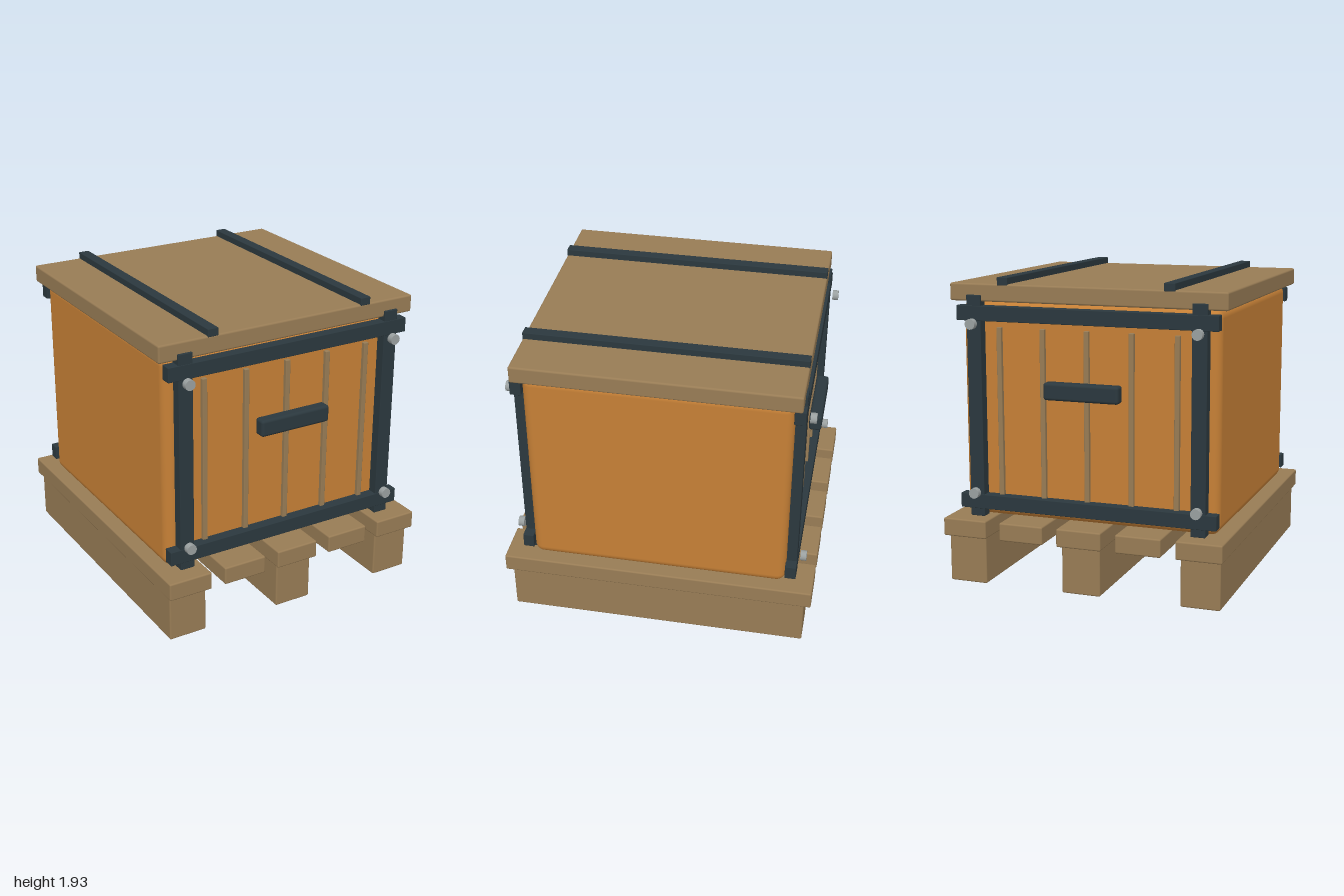
import * as THREE from 'three';
import { RoundedBoxGeometry } from 'three/addons/geometries/RoundedBoxGeometry.js';

const material = (color) => new THREE.MeshStandardMaterial({ color });

export function createModel() {
  const model = new THREE.Group();
  model.name = 'crateOnPallet';
  const wood = material(0x987c55);
  const orange = material(0xc68036);
  const iron = material(0x2b383e);
  const steel = material(0x9aa0a0);

  // Rounded block given by its size and centre
  function block(parent, name, mat, size, pos, radius = 0.01, segments = 2) {
    const mesh = new THREE.Mesh(new RoundedBoxGeometry(...size, segments, radius), mat);
    mesh.name = name;
    mesh.position.set(...pos);
    parent.add(mesh);
    return mesh;
  }

  // Pallet: three runners under five deck boards
  const pallet = new THREE.Group();
  pallet.name = 'pallet';
  model.add(pallet);
  for (const x of [-0.765, 0, 0.765])
    block(pallet, 'palletRunner', wood, [0.25, 0.31, 1.91], [x, 0.155, 0]);
  for (const x of [-0.765, -0.383, 0, 0.383, 0.765])
    block(pallet, 'palletBoard', wood, [0.29, 0.115, 2], [x, 0.3625, 0]);

  // Crate body and lid
  block(model, 'crateBody', orange, [1.67, 1.37, 1.64], [0, 1.1, 0], 0.06, 5);
  block(model, 'lid', wood, [1.78, 0.11, 1.74], [0, 1.835, 0], 0.012);

  // Straps over the lid
  for (const x of [-0.535, 0.535])
    block(model, 'lidStrap', iron, [0.07, 0.05, 1.74], [x, 1.907, 0], 0.004, 1);

  // End panel: iron frame, battens, handle and bolts
  function createEnd(name) {
    const end = new THREE.Group();
    end.name = name;
    for (const x of [-0.725, 0.725]) {
      block(end, 'framePost', iron, [0.094, 1.4, 0.07], [x, 1.12, 0.85], 0.004, 1);
      for (const y of [0.577, 1.645]) {
        const bolt = new THREE.Mesh(new THREE.CylinderGeometry(0.033, 0.033, 0.038, 16), steel);
        bolt.name = 'bolt';
        bolt.rotation.x = Math.PI / 2;
        bolt.position.set(x, y, 0.922);
        end.add(bolt);
      }
    }
    for (const y of [0.515, 1.708])
      block(end, 'frameRail', iron, [1.68, 0.093, 0.07], [0, y, 0.852], 0.004, 1);
    for (let i = -2; i <= 2; i++)
      block(end, 'batten', wood, [0.032, 1.07, 0.03], [i * 0.288, 1.087, 0.83], 0.004, 1);
    block(end, 'handle', iron, [0.485, 0.108, 0.08], [0, 1.258, 0.905], 0.018, 3);
    return end;
  }

  const front = createEnd('frontEnd');
  const back = createEnd('backEnd');
  back.rotation.y = Math.PI;
  model.add(front, back);

  return model;
}
